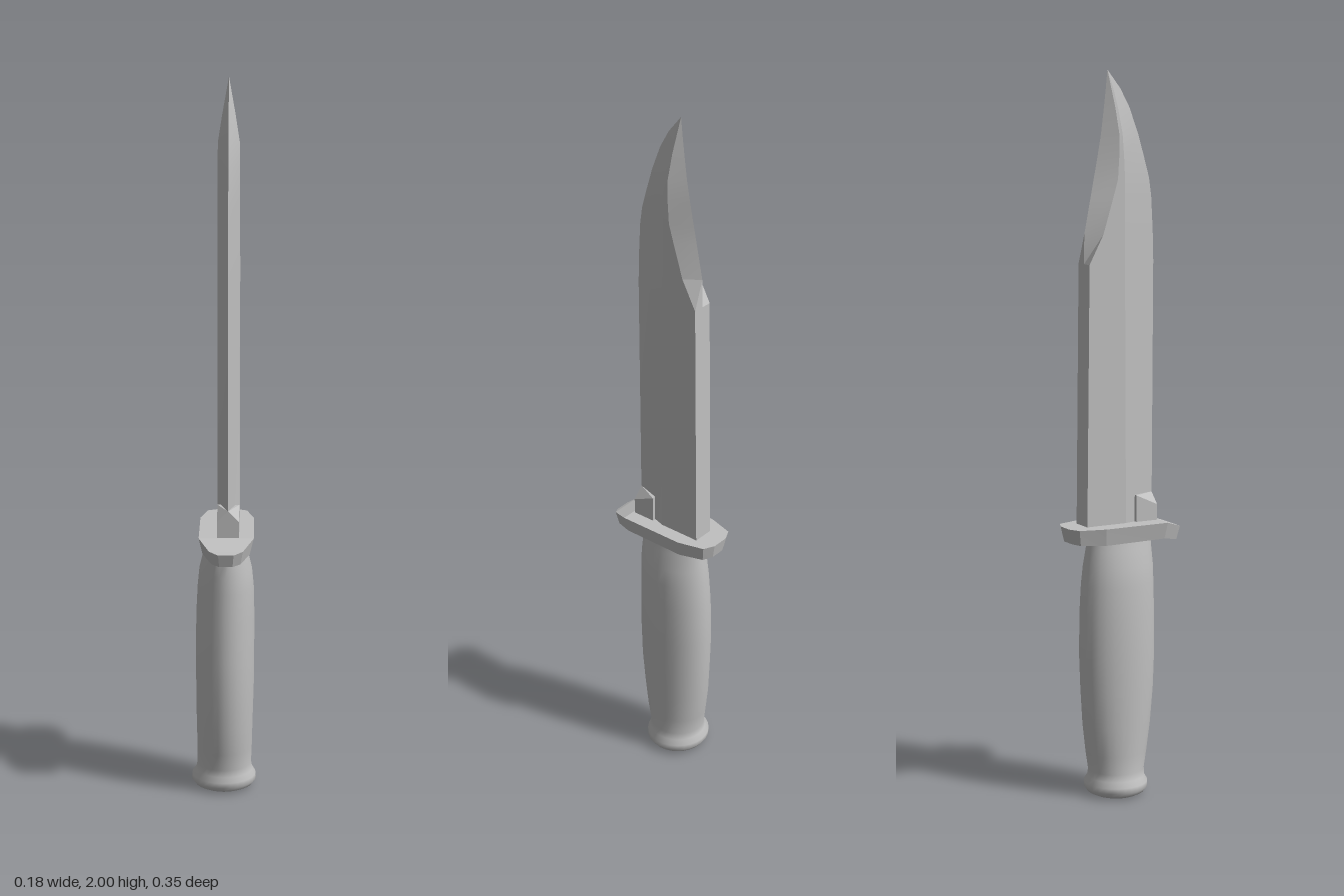
import * as THREE from 'three';
import { toCreasedNormals } from 'three/addons/utils/BufferGeometryUtils.js';

// Skin a list of equal-length rings of [x, y, z]; both ends are closed with a fan.
function loft(rings, crease) {
  const n = rings[0].length, pos = [];
  const tri = (a, b, c) => pos.push(...a, ...b, ...c);
  for (let r = 0; r < rings.length - 1; r++) {
    const a = rings[r], b = rings[r + 1];
    for (let i = 0; i < n; i++) {
      const j = (i + 1) % n;
      tri(a[i], a[j], b[j]);
      tri(a[i], b[j], b[i]);
    }
  }
  const first = rings[0], last = rings[rings.length - 1];
  for (let i = 1; i < n - 1; i++) {
    tri(first[0], first[i + 1], first[i]);
    tri(last[0], last[i], last[i + 1]);
  }
  const geometry = new THREE.BufferGeometry();
  geometry.setAttribute('position', new THREE.Float32BufferAttribute(pos, 3));
  return toCreasedNormals(geometry, crease);
}

export function createModel() {
  const group = new THREE.Group();
  const steel = new THREE.MeshStandardMaterial({ color: 0xc0c0c0 });
  steel.name = 'grey steel';

  const add = (name, rings, crease) => {
    const mesh = new THREE.Mesh(loft(rings, crease), steel);
    mesh.name = name;
    group.add(mesh);
  };

  // Blade: height, cutting edge z, front ridge z, back ridge z, spine z, half thickness
  const bladeX = 0.012;
  const blade = [
    [0.76, 0.1, 0.0, -0.122, -0.122, 0.03],
    [1.485, 0.104, -0.003, -0.113, -0.113, 0.03],
    [1.565, 0.102, -0.003, -0.07, -0.112, 0.03],
    [1.66, 0.097, -0.003, -0.04, -0.093, 0.03],
    [1.71, 0.09, -0.003, -0.025, -0.083, 0.03],
    [1.77, 0.073, -0.006, -0.021, -0.071, 0.03],
    [1.83, 0.055, -0.01, -0.02, -0.06, 0.029],
    [1.9, 0.028, -0.018, -0.026, -0.051, 0.018],
    [1.95, 0.0, -0.027, -0.033, -0.045, 0.009],
    [2.0, -0.04, -0.04, -0.04, -0.04, 0.0],
  ].map(([y, edge, front, back, spine, h]) => [
    [bladeX, y, edge],
    [bladeX + h, y, front],
    [bladeX + h, y, back],
    [bladeX, y, spine],
    [bladeX - h, y, back],
    [bladeX - h, y, front],
  ]);
  add('blade', blade, 0.18);

  // Thick unsharpened block at the root, its top sloping into the bevels
  const root = (edgeY, cornerY, backY) => [
    [bladeX, edgeY, 0.1],
    [bladeX + 0.03, cornerY, 0.1],
    [bladeX + 0.03, backY, 0.034],
    [bladeX - 0.03, backY, 0.034],
    [bladeX - 0.03, cornerY, 0.1],
  ];
  add('bladeRoot', [root(0.76, 0.76, 0.76), root(0.843, 0.812, 0.843)], 0.1);

  // Guard: z, half width, top y, underside y; the front end dips
  const guardX = 0.007;
  const guard = [
    [-0.178, 0.024, 0.77, 0.728],
    [-0.163, 0.055, 0.77, 0.726],
    [-0.09, 0.075, 0.77, 0.722],
    [0.105, 0.075, 0.768, 0.722],
    [0.162, 0.046, 0.748, 0.71],
    [0.175, 0.021, 0.741, 0.706],
  ].map(([z, w, top, bottom]) => [
    [guardX + w * 0.86, bottom, z * 0.95],
    [guardX + w, top, z],
    [guardX - w, top, z],
    [guardX - w * 0.86, bottom, z * 0.95],
  ]);
  add('guard', guard, 0.1);

  // Handle with flared pommel: height, centre x, centre z, half width x, half depth z
  const handle = [
    [0.0, -0.001, -0.024, 0.066, 0.064],
    [0.008, -0.001, -0.024, 0.082, 0.08],
    [0.02, -0.001, -0.024, 0.091, 0.088],
    [0.035, -0.001, -0.024, 0.09, 0.089],
    [0.05, 0.0, -0.023, 0.08, 0.08],
    [0.07, 0.0, -0.022, 0.076, 0.079],
    [0.12, 0.001, -0.021, 0.077, 0.088],
    [0.2, 0.001, -0.02, 0.079, 0.099],
    [0.3, 0.002, -0.018, 0.081, 0.107],
    [0.4, 0.002, -0.018, 0.082, 0.111],
    [0.52, 0.003, -0.017, 0.081, 0.11],
    [0.6, 0.004, -0.015, 0.078, 0.107],
    [0.65, 0.004, -0.013, 0.073, 0.104],
    [0.7, 0.004, -0.011, 0.061, 0.099],
    [0.73, 0.004, -0.01, 0.055, 0.097],
  ].map(([y, cx, cz, rx, rz]) => Array.from({ length: 28 }, (_, i) => {
    const a = (i / 28) * Math.PI * 2;
    return [cx + rx * Math.cos(a), y, cz - rz * Math.sin(a)];
  }));
  add('handle', handle, 0.9);

  return group;
}
